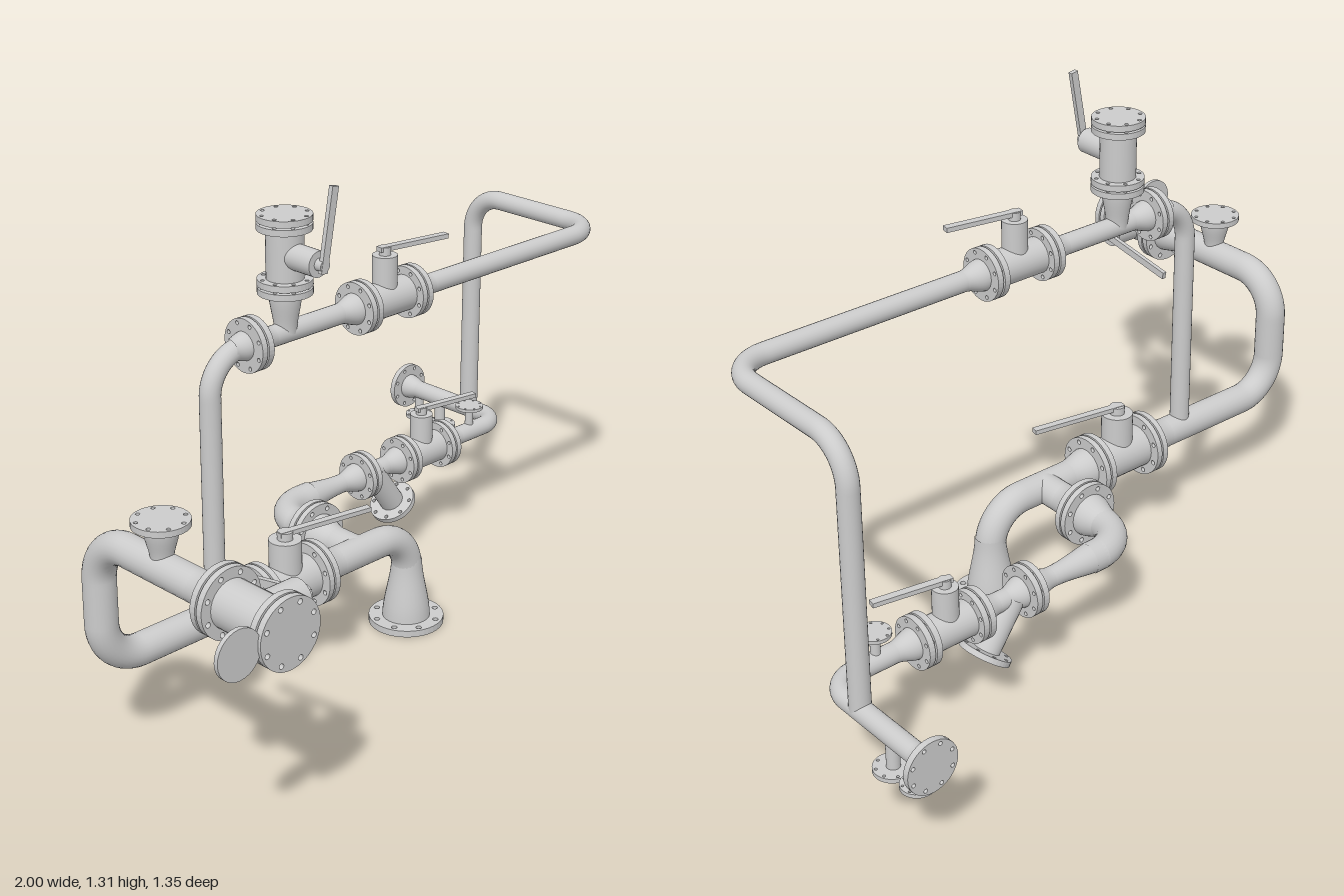
import * as THREE from 'three';

const V = (x, y, z) => new THREE.Vector3(x, y, z);
const X = V(1, 0, 0), Y = V(0, 1, 0), Z = V(0, 0, 1);
const mat = new THREE.MeshStandardMaterial({ color: 0xcccccc });
const MAIN = 0.04, THIN = 0.026;   // pipe radii
const BIG = 0.084, SMALL = 0.067;  // flange radii

export function createModel() {
  const model = new THREE.Group();
  model.name = 'pipework';

  function add(parent, name, geo, pos, dir = Y) {
    const m = new THREE.Mesh(geo, mat);
    m.name = name;
    m.position.copy(pos);
    m.quaternion.setFromUnitVectors(Y, dir.clone().normalize());
    parent.add(m);
    return m;
  }

  // Round bar from a to b
  function rod(parent, name, a, b, r) {
    const d = b.clone().sub(a);
    return add(parent, name, new THREE.CylinderGeometry(r, r, d.length(), 28), a.clone().add(b).multiplyScalar(0.5), d);
  }

  // Pipe along a polyline with rounded elbows
  function pipe(name, pts, r, bend = 0.1) {
    const path = new THREE.CurvePath();
    let from = pts[0];
    for (let i = 1; i < pts.length - 1; i++) {
      const p = pts[i];
      const u = pts[i - 1].clone().sub(p).normalize(), v = pts[i + 1].clone().sub(p).normalize();
      const on = (d, k) => p.clone().addScaledVector(d, bend * k);
      path.add(new THREE.LineCurve3(from, on(u, 1)));
      path.add(new THREE.CubicBezierCurve3(on(u, 1), on(u, 0.448), on(v, 0.448), on(v, 1)));
      from = on(v, 1);
    }
    path.add(new THREE.LineCurve3(from, pts[pts.length - 1]));
    const n = Math.max(8, Math.ceil(path.getLength() / 0.012));
    add(model, name, new THREE.TubeGeometry(path, n, r, 24), V(0, 0, 0));
  }

  // Smoothly flared neck from a (radius r0) to b (radius r1)
  function neck(name, a, b, r0, r1) {
    const d = b.clone().sub(a), L = d.length(), prof = [];
    for (let i = 0; i <= 8; i++) {
      const t = i / 8;
      prof.push(new THREE.Vector2(r0 + (r1 - r0) * t * t * (3 - 2 * t), t * L));
    }
    add(model, name, new THREE.LatheGeometry(prof, 28), a, d);
  }

  // Round plate with a ring of bolt holes, starting at pos and growing along dir
  function flange(parent, pos, dir, R, t = 0.016, name = 'flange') {
    const s = new THREE.Shape().absarc(0, 0, R, 0, Math.PI * 2);
    for (let i = 0; i < 8; i++) {
      const a = (i + 0.5) * Math.PI / 4;
      s.holes.push(new THREE.Path().absarc(Math.cos(a) * R * 0.84, Math.sin(a) * R * 0.84, R * 0.075, 0, Math.PI * 2, true));
    }
    const g = new THREE.ExtrudeGeometry(s, { depth: t, bevelEnabled: false, curveSegments: 20 });
    add(parent, name, g.rotateX(-Math.PI / 2), pos, dir);
  }

  // Two flanges bolted face to face
  function flangePair(pos, dir, R) {
    for (const o of [-0.0185, 0.0025]) flange(model, pos.clone().addScaledVector(dir, o), dir, R);
  }

  // Lever valve: axis is the flow, stem the handle side; the lever swings from the axis by angle
  function valve(name, pos, axis, stem, half, big, angle, mateEnd = true) {
    const g = new THREE.Group();
    g.name = name;
    g.applyMatrix4(new THREE.Matrix4().makeBasis(axis, stem, axis.clone().cross(stem)));
    g.position.copy(pos);
    model.add(g);
    const R = big ? BIG : SMALL, top = big ? 0.126 : 0.115, L = big ? 0.27 : 0.205;
    rod(g, 'valveBody', V(-half + 0.02, 0, 0), V(half - 0.02, 0, 0), big ? 0.058 : 0.046);
    for (const s of [-1, 1]) {
      const d = V(s, 0, 0);
      flange(g, V(s * (half - 0.037), 0, 0), d, R);
      if (s < 0 || mateEnd) flange(g, V(s * (half - 0.016), 0, 0), d, R);
      rod(g, 'valveSpigot', V(s * (half - 0.04), 0, 0), V(s * half, 0, 0), R * 0.6);
    }
    rod(g, 'stemHousing', V(0, 0, 0), V(0, top, 0), big ? 0.042 : 0.032);
    rod(g, 'stemCap', V(0, top, 0), V(0, top + 0.021, 0), big ? 0.02 : 0.015);
    const lever = add(g, 'lever', new THREE.BoxGeometry(L, 0.012, 0.02).translate(L / 2 - 0.018, 0, 0), V(0, top + 0.016, 0));
    lever.rotation.set(0, -angle, 0);
  }

  // Short branch with an end flange
  function stub(name, a, b, r, R, t, flare = r) {
    const d = b.clone().sub(a).normalize(), end = b.clone().addScaledVector(d, -t);
    neck(name, a, end, r, flare);
    flange(model, end, d, R, t, name + 'Flange');
  }

  const zM = 0.04, yM = 0.265, yT = 0.933, zB = -0.29;

  // Main line: raised inlet, long run, elbow down to the foot
  pipe('mainPipe', [V(-0.808, 0.6, 0.46), V(-0.808, 0.6, zM), V(-0.808, yM, zM), V(-0.33, yM, zM)], MAIN, 0.11);
  pipe('outletElbow', [V(-0.14, yM, zM), V(0.2, yM, zM), V(0.2, 0.15, zM)], MAIN, 0.105);
  neck('footNeck', V(0.2, 0.19, zM), V(0.2, 0.01, zM), MAIN, 0.064);
  flange(model, V(0.2, 0, zM), Y, 0.1, 0.018, 'footFlange');
  neck('mainNeck', V(-0.41, yM, zM), V(-0.34, yM, zM), MAIN, 0.054);
  neck('mainNeck', V(-0.06, yM, zM), V(-0.13, yM, zM), MAIN, 0.054);
  valve('mainValve', V(-0.235, yM, zM), X, Y, 0.11, true, 0.18);

  // Inlet valve with the figure-eight blanking plate
  neck('inletNeck', V(-0.808, 0.6, 0.39), V(-0.808, 0.6, 0.465), MAIN, 0.052);
  valve('inletValve', V(-0.808, 0.6, 0.569), Z.clone().negate(), X, 0.11, true, 0.18);
  for (const x of [-0.808, -0.941]) rod(model, 'blankingDisc', V(x, 0.6, 0.66), V(x, 0.6, 0.671), 0.059);
  add(model, 'blankingLink', new THREE.BoxGeometry(0.08, 0.03, 0.01), V(-0.875, 0.6, 0.6655));
  stub('inletVent', V(-0.808, 0.62, 0.27), V(-0.808, 0.72, 0.27), 0.026, SMALL, 0.015, 0.042);

  // Upper bypass loop, rising from the main and dropping at the far corner
  pipe('bypassPipe', [V(-0.465, yM, zM), V(-0.465, yT, zM), V(0.02, yT, zM)], THIN);
  pipe('bypassReturn', [V(0.2, yT, zM), V(0.93, yT, zM), V(0.93, yT, -0.41), V(0.93, yM, -0.41)], THIN);
  flangePair(V(-0.34, yT, zM), X, SMALL);
  neck('bypassNeck', V(-0.4, yT, zM), V(-0.355, yT, zM), THIN, 0.036);
  neck('bypassNeck', V(-0.27, yT, zM), V(-0.325, yT, zM), THIN, 0.04);
  neck('bypassNeck', V(-0.05, yT, zM), V(0.005, yT, zM), THIN, 0.04);
  neck('bypassNeck', V(0.27, yT, zM), V(0.214, yT, zM), THIN, 0.04);
  valve('bypassValve', V(0.108, yT, zM), X, Y, 0.106, false, 0.18);

  // Vent valve on top of the loop
  neck('ventNeck', V(-0.225, yT, zM), V(-0.225, 1.035, zM), 0.027, 0.04);
  valve('ventValve', V(-0.225, 1.129, zM), Y, Z, 0.097, false, 0.18);

  // Rear branch: flanged tee, reducer, strainer, valve and outlet
  pipe('branchElbow', [V(0.02, yM, zM), V(0.02, yM, zB), V(0.16, yM, zB)], MAIN, 0.11);
  flangePair(V(0.02, yM, -0.122), Z, BIG);
  neck('branchNeck', V(0.02, yM, -0.04), V(0.02, yM, -0.104), MAIN, 0.056);
  neck('branchNeck', V(0.02, yM, -0.2), V(0.02, yM, -0.14), MAIN, 0.056);
  neck('reducer', V(0.12, yM, zB), V(0.27, yM, zB), MAIN, THIN);
  pipe('branchPipe', [V(0.26, yM, zB), V(0.52, yM, zB)], THIN);
  flangePair(V(0.357, yM, zB), X, SMALL);
  neck('strainerNeck', V(0.28, yM, zB), V(0.34, yM, zB), THIN, 0.04);
  neck('strainerNeck', V(0.42, yM, zB), V(0.374, yM, zB), THIN, 0.04);
  neck('strainerNeck', V(0.45, yM, zB), V(0.505, yM, zB), THIN, 0.04);
  stub('strainerLeg', V(0.4, 0.262, zB), V(0.488, 0.135, zB), 0.034, SMALL, 0.015);
  valve('branchValve', V(0.598, yM, zB), X, Y, 0.098, false, 0.18);
  neck('branchNeck', V(0.75, yM, zB), V(0.692, yM, zB), THIN, 0.04);
  pipe('outletPipe', [V(0.68, yM, zB), V(0.93, yM, zB), V(0.93, yM, -0.66)], THIN, 0.07);
  stub('gaugeStub', V(0.8, yM, zB), V(0.8, 0.348, zB), 0.012, 0.04, 0.009);

  // Outlet flange and the two drains under it
  stub('outletNeck', V(0.93, yM, -0.61), V(0.93, yM, -0.671), THIN, SMALL, 0.016, 0.036);
  stub('drain', V(0.93, yM, -0.526), V(0.93, 0.17, -0.526), 0.016, 0.047, 0.011);
  stub('drain', V(0.93, yM, -0.613), V(0.93, 0.178, -0.613), 0.013, 0.04, 0.01);

  return model;
}
